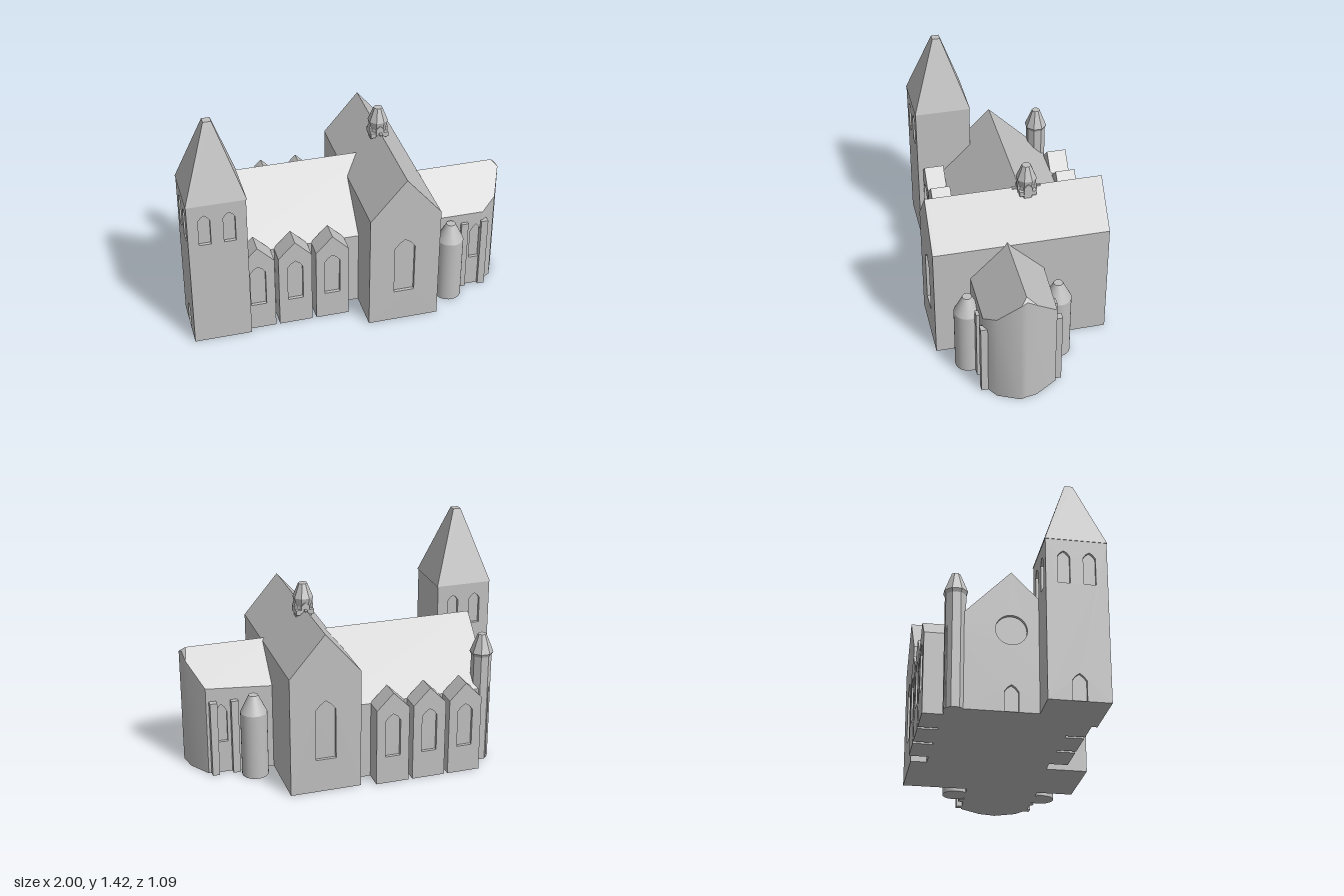
import * as THREE from 'three';

const stone = new THREE.MeshStandardMaterial({ color: 0xc0c0c0 });
stone.name = 'pale stone';
const D = 0.02; // depth of window and door recesses

function add(parent, name, geometry, x = 0, y = 0, z = 0) {
  const mesh = new THREE.Mesh(geometry, stone);
  mesh.name = name;
  mesh.position.set(x, y, z);
  parent.add(mesh);
  return mesh;
}

const vecs = (pts) => pts.map(([x, y]) => new THREE.Vector2(x, y));

function extrude(outline, holes, depth) {
  const shape = new THREE.Shape(vecs(outline));
  shape.holes = holes.map((h) => new THREE.Path(vecs(h)));
  return new THREE.ExtrudeGeometry(shape, { depth, bevelEnabled: false });
}

// Outlines
const rect = (x0, x1, h) => [[x0, 0], [x1, 0], [x1, h], [x0, h]];
const gable = (x0, x1, eave, ridge) => [[x0, 0], [x1, 0], [x1, eave], [(x0 + x1) / 2, ridge], [x0, eave]];
const arch = (cx, w, y0, y1, top) => [[cx - w / 2, y0], [cx - w / 2, y1], [cx - w * 0.28, (y1 + top) / 2 + 0.004],
  [cx, top], [cx + w * 0.28, (y1 + top) / 2 + 0.004], [cx + w / 2, y1], [cx + w / 2, y0]];
const circle = (cx, cy, r) => Array.from({ length: 28 }, (_, i) => {
  const a = -i / 28 * Math.PI * 2;
  return [cx + r * Math.cos(a), cy + r * Math.sin(a)];
});

// Solid body along local z with recessed openings in its end walls
function block(parent, name, outline, depth, front = [], back = []) {
  const g = new THREE.Group();
  g.name = name;
  const f = front.length ? D : 0, b = back.length ? D : 0;
  add(g, 'body', extrude(outline, [], depth - f - b), 0, 0, b);
  if (f) add(g, 'frontWall', extrude(outline, front, D), 0, 0, depth - D);
  if (b) add(g, 'backWall', extrude(outline, back, D));
  parent.add(g);
  return g;
}

// Eight-sided flat-faced turret section
function octagon(parent, name, rTop, rBottom, y0, y1, x, z) {
  const geo = new THREE.CylinderGeometry(rTop, rBottom, y1 - y0, 8).rotateY(Math.PI / 8).toNonIndexed();
  geo.computeVertexNormals();
  add(parent, name, geo, x, (y0 + y1) / 2, z);
}

function buildTower(root) {
  const tower = new THREE.Group();
  tower.name = 'tower';
  root.add(tower);
  const windows = (c) => [-0.073, 0.073].map((o) => arch(c + o, 0.07, 0.7, 0.865, 0.9));
  block(tower, 'towerShaft', rect(-0.98, -0.65, 0.97), 0.35, windows(-0.825), windows(-0.825)).position.z = 0.085;
  // West wall with windows and a door
  const west = add(tower, 'towerWestWall',
    extrude(rect(0.085, 0.435, 0.97), [...windows(0.26), arch(0.26, 0.08, 0.002, 0.12, 0.16)], D), -0.977);
  west.rotation.y = -Math.PI / 2;
  const spire = new THREE.CylinderGeometry(0.024 * Math.SQRT2, 0.178 * Math.SQRT2, 0.45, 4)
    .rotateY(Math.PI / 4).toNonIndexed();
  spire.computeVertexNormals();
  add(tower, 'spire', spire, -0.822, 1.195, 0.26);
  add(tower, 'towerLedge', new THREE.BoxGeometry(0.065, 0.03, 0.03), -0.752, 0.685, 0.075);
}

function buildNave(root) {
  const openings = [circle(-0.07, 0.49, 0.09), arch(-0.07, 0.08, 0.002, 0.12, 0.16)];
  const nave = block(root, 'nave', gable(-0.43, 0.29, 0.485, 0.85), 1.04, openings);
  nave.rotation.y = -Math.PI / 2;
  nave.position.x = 0.25;

  // Gabled side chapels on both sides
  for (const x of [-0.593, -0.365, -0.135]) {
    for (const side of [1, -1]) {
      const c = block(root, 'sideChapel', gable(-0.102, 0.102, 0.485, 0.59), 0.125, [arch(0, 0.094, 0.175, 0.41, 0.455)]);
      c.position.set(x, 0, side > 0 ? 0.277 : -0.42);
      c.rotation.y = side > 0 ? 0 : Math.PI;
    }
  }

  // Corner stair turret
  octagon(root, 'cornerTurret', 0.062, 0.062, 0, 0.69, -0.755, -0.38);
  octagon(root, 'cornerTurretEave', 0.072, 0.062, 0.69, 0.71, -0.755, -0.38);
  octagon(root, 'cornerTurretCap', 0.026, 0.072, 0.71, 0.825, -0.755, -0.38);
}

function buildTransept(root) {
  const win = [arch(0.275, 0.125, 0.21, 0.53, 0.59)];
  block(root, 'transept', gable(0.058, 0.492, 0.75, 1.005), 1.065, win, win).position.z = -0.525;

  // Ridge turret with little gabled openings
  const x = 0.275, z = -0.065;
  octagon(root, 'ridgeTurretBase', 0.05, 0.054, 0.95, 1.02, x, z);
  octagon(root, 'ridgeTurretBody', 0.062, 0.05, 1.02, 1.07, x, z);
  octagon(root, 'ridgeTurretCap', 0.027, 0.062, 1.07, 1.155, x, z);
  add(root, 'ridgeTurretFoot', new THREE.BoxGeometry(0.11, 0.03, 0.1), x, 0.985, z);
  add(root, 'ridgeBeam', new THREE.BoxGeometry(0.016, 0.03, 0.17), x, 0.99, z);
  for (let i = 0; i < 4; i++) {
    const d = block(root, 'ridgeTurretGable', gable(-0.024, 0.024, 0.045, 0.067), 0.056);
    d.position.set(x, 0.982, z);
    d.rotation.y = i * Math.PI / 2;
  }
}

function buildChoir(root) {
  const choir = new THREE.Group();
  choir.name = 'choir';
  root.add(choir);
  const ridgeZ = 0.095, ridgeEnd = [0.965, ridgeZ], tip = [0.99, ridgeZ];
  const roofY = (x, z) => Math.min(0.765 - Math.abs(z - ridgeZ), 0.765 - Math.max(0, x - 0.965) * 0.85);
  // Plan points as [x, z]
  const S0 = [0.45, 0.32], S1 = [0.845, 0.32], S2 = [0.94, 0.26], S3 = [1.0, 0.13];
  const N0 = [0.45, -0.13], N1 = [0.895, -0.105], N2 = [0.98, 0.03];

  // Rounded end wall with its top following the roof
  const end = [S1, S2, S3, tip, N2, N1];
  const pos = [], idx = [];
  end.forEach(([x, z], i) => {
    pos.push(x, 0, z, x, roofY(x, z), z);
    if (i) {
      const a = 2 * i - 2;
      idx.push(a, a + 2, a + 1, a + 1, a + 2, a + 3);
    }
  });
  const wall = new THREE.BufferGeometry();
  wall.setAttribute('position', new THREE.Float32BufferAttribute(pos, 3));
  wall.setIndex(idx);
  wall.computeVertexNormals();
  add(choir, 'apseWall', wall);

  // Straight side walls with one recessed window each
  const sideWall = (name, p, q, winX) => {
    const len = Math.hypot(q[0] - p[0], q[1] - p[1]);
    const outline = [[0, 0], [len, 0], [len, roofY(...q)], [0, roofY(...p)]];
    const g = block(choir, name, outline, 0.04, [arch(winX, 0.07, 0.205, 0.405, 0.455)]);
    const a = Math.atan2(-(q[1] - p[1]), q[0] - p[0]);
    g.rotation.y = a;
    g.position.set(p[0] - Math.sin(a) * 0.04, 0, p[1] - Math.cos(a) * 0.04);
  };
  sideWall('choirSouthWall', S0, S1, 0.355);
  sideWall('choirNorthWall', N1, N0, 0.09);

  // Roof slopes, hipped tip and floor
  const roof = (name, pts) => {
    const geo = new THREE.ShapeGeometry(new THREE.Shape(vecs(pts.map(([x, z]) => [x, -z])))).rotateX(-Math.PI / 2);
    const p = geo.attributes.position;
    for (let i = 0; i < p.count; i++) p.setY(i, roofY(p.getX(i), p.getZ(i)));
    geo.computeVertexNormals();
    add(choir, name, geo);
  };
  roof('roofSouth', [[0.45, ridgeZ], S0, S1, S2, S3, ridgeEnd]);
  roof('roofNorth', [[0.45, ridgeZ], ridgeEnd, N2, N1, N0]);
  roof('roofTip', [ridgeEnd, S3, tip, N2]);
  add(choir, 'floor', new THREE.ShapeGeometry(new THREE.Shape(vecs([S0, S1, S2, S3, tip, N2, N1, N0]))).rotateX(Math.PI / 2));

  // Round turrets and buttresses on both sides
  for (const [tz, bz] of [[0.367, 0.315], [-0.182, -0.12]]) {
    add(choir, 'roundTurret', new THREE.CylinderGeometry(0.081, 0.081, 0.415, 32), 0.622, 0.2075, tz);
    add(choir, 'roundTurretCap', new THREE.CylinderGeometry(0.028, 0.081, 0.11, 32), 0.622, 0.47, tz);
    for (const bx of [0.727, 0.856]) add(choir, 'buttress', new THREE.BoxGeometry(0.044, 0.48, 0.05), bx, 0.24, bz);
  }
}

export function createModel() {
  const root = new THREE.Group();
  root.name = 'church';
  buildTower(root);
  buildNave(root);
  buildTransept(root);
  buildChoir(root);
  return root;
}
